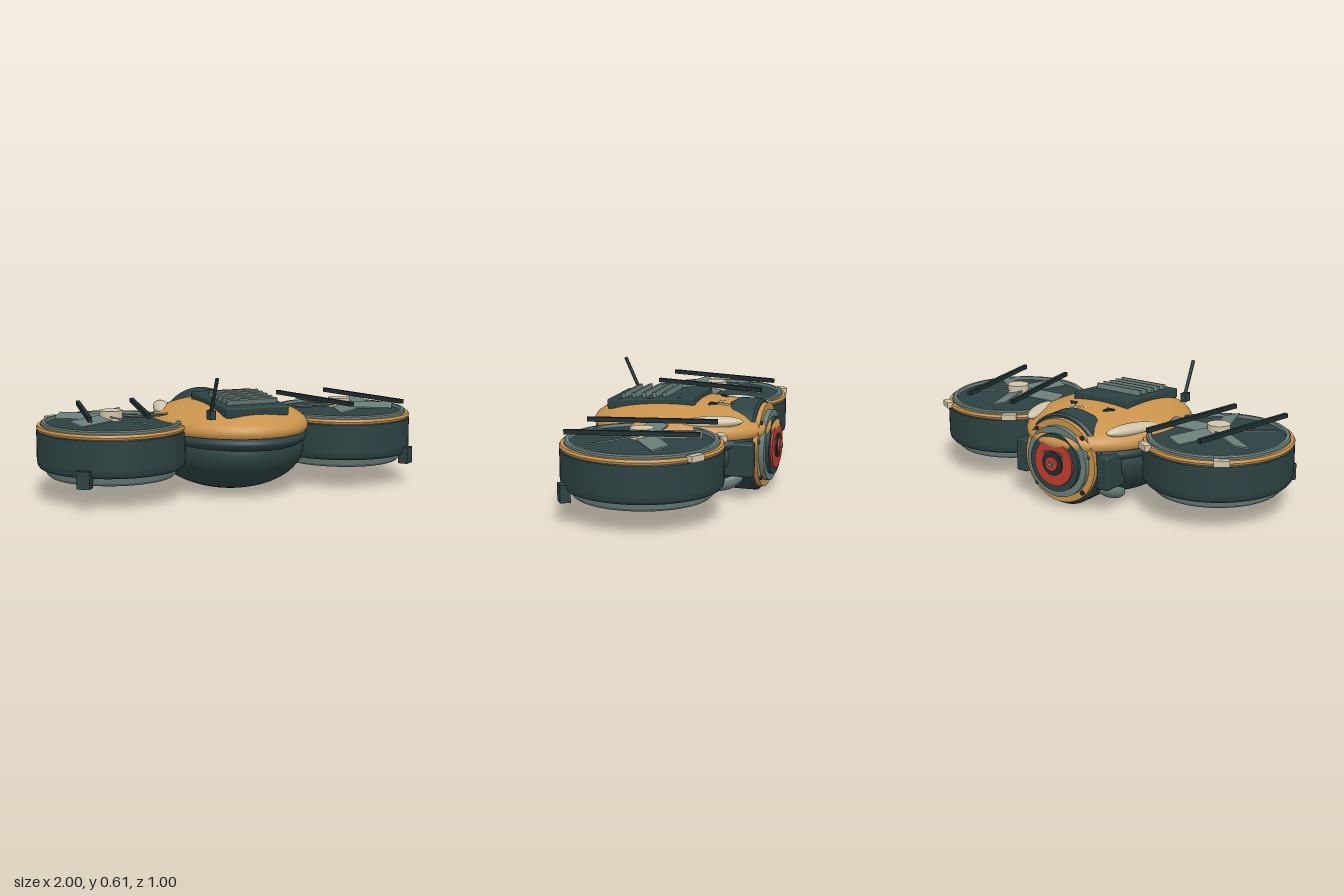
import * as THREE from 'three';
import { RoundedBoxGeometry } from 'three/addons/geometries/RoundedBoxGeometry.js';

const mat = (name, color) => {
  const m = new THREE.MeshStandardMaterial({ color });
  m.name = name;
  return m;
};

export function createModel() {
  const orange = mat('ochre', 0xc9934c);
  const dark = mat('dark teal', 0x2c4142);
  const char = mat('charcoal', 0x1f2e30);
  const steel = mat('steel grey', 0x687d79);
  const cream = mat('cream', 0xd0c5aa);
  const red = mat('red', 0xc03c2f);

  const root = new THREE.Group();
  root.name = 'drone';

  const add = (parent, name, geo, material, pos = [0, 0, 0], rot = [0, 0, 0], scale = [1, 1, 1]) => {
    const m = new THREE.Mesh(geo, material);
    m.name = name;
    m.position.set(...pos);
    m.rotation.set(...rot);
    m.scale.set(...scale);
    parent.add(m);
    return m;
  };
  const group = (name, x, y, z) => {
    const g = new THREE.Group();
    g.name = name;
    g.position.set(x, y, z);
    root.add(g);
    return g;
  };
  // Flat-faceted rings: each profile segment gets its own normals
  const lathe = (pts) => {
    const v = [];
    pts.forEach((p, i) => {
      v.push(new THREE.Vector2(...p));
      if (i > 0 && i < pts.length - 1) v.push(new THREE.Vector2(p[0], p[1] + 1e-5));
    });
    return new THREE.LatheGeometry(v, 64);
  };
  const box = (w, h, d) => new THREE.BoxGeometry(w, h, d);
  const ball = new THREE.SphereGeometry(1, 48, 32);

  // Hull: lower bowl, middle band, upper shell
  add(root, 'lowerHull', ball, dark, [0, 0.222, 0], [0, 0, 0], [0.38, 0.222, 0.45]);
  add(root, 'middleBand', ball, dark, [0, 0.285, 0.01], [0, 0, 0], [0.38, 0.085, 0.488]);
  const shell = new THREE.SphereGeometry(1, 48, 24, 0, Math.PI * 2, 0, 1.77);
  add(root, 'upperShell', shell, orange, [0, 0.337, 0.01], [0, 0, 0], [0.392, 0.127, 0.485]);

  // Sloped vent panel with five louvres
  const vent = group('ventPanel', 0, 0.447, 0.153);
  vent.rotation.x = 0.075;
  add(vent, 'panel', new RoundedBoxGeometry(0.335, 0.05, 0.465, 2, 0.008), dark);
  for (let i = 0; i < 5; i++)
    add(vent, 'louvre', box(0.27, 0.035, 0.02), steel, [0, 0.033, 0.15 - i * 0.055], [0.15, 0, 0]);

  // Antenna
  add(root, 'antennaBase', box(0.03, 0.045, 0.045), dark, [-0.235, 0.425, 0.355]);
  add(root, 'antenna', new THREE.CylinderGeometry(0.009, 0.009, 0.185, 12), char, [-0.235, 0.523, 0.39], [0.43, 0, 0]);

  // Small markings on the shell behind the panel
  for (const s of [-1, 1]) {
    const tri = new THREE.Shape([[0, 0], [0.045, 0], [0, 0.04]].map(([x, y]) => new THREE.Vector2(x * s, y)));
    add(root, 'shellBracket', new THREE.ExtrudeGeometry(tri, { depth: 0.009, bevelEnabled: false }), char,
      [s * 0.095, 0.452, -0.145], [-Math.PI / 2 - 0.1, 0, 0]);
  }
  for (const [x, z, d] of [[0.01, -0.185, 0.02], [0.05, -0.185, 0.02], [0.085, -0.215, 0.07]])
    add(root, 'shellTick', box(0.016, 0.008, d), cream, [x, 0.45, z], [-0.12, 0, 0]);

  for (const s of [-1, 1]) {
    // Pods on the rear shoulders and under the tail
    add(root, 'shoulderPod', ball, cream, [s * 0.285, 0.397, -0.205], [0.03, s * 0.3, 0], [0.042, 0.03, 0.155]);
    add(root, 'bellyPod', ball, steel, [s * 0.2, 0.085, -0.265], [0.4, s * 0.35, 0], [0.045, 0.042, 0.085]);
    // Lugs beside the tail collar
    add(root, 'tailLug', new RoundedBoxGeometry(0.07, 0.17, 0.15, 2, 0.012), dark, [s * 0.25, 0.215, -0.335]);
  }

  // Tail: stacked rings along -z
  const tail = group('tail', 0, 0.237, 0);
  tail.rotation.x = -Math.PI / 2;
  add(tail, 'collar', lathe([[0, 0.2], [0.205, 0.22], [0.225, 0.255], [0.233, 0.27], [0.233, 0.38], [0.222, 0.392], [0, 0.392]]), dark);
  const ring = (name, r, y0, y1, m) =>
    add(tail, name, new THREE.CylinderGeometry(r, r, y1 - y0, 64), m, [0, (y0 + y1) / 2, 0]);
  ring('trimRing', 0.213, 0.385, 0.416, orange);
  ring('steelRing', 0.18, 0.41, 0.443, steel);
  ring('darkRing', 0.147, 0.44, 0.46, dark);
  ring('redRing', 0.115, 0.455, 0.47, red);
  ring('innerRing', 0.06, 0.465, 0.478, char);
  ring('redCentre', 0.036, 0.475, 0.488, red);
  ring('lensTip', 0.012, 0.485, 0.497, steel);
  for (let i = 0; i < 4; i++) {
    const a = Math.PI / 4 + (i * Math.PI) / 2;
    add(tail, 'bolt', new THREE.CylinderGeometry(0.012, 0.012, 0.015, 12), char,
      [0.197 * Math.cos(a), 0.417, 0.197 * Math.sin(a)]);
  }

  // Ducted fans, mirrored left and right
  const oval = [1, 1, 1.07];
  const ductShell = lathe([[0.32, 0.15], [0.35, 0.155], [0.361, 0.168], [0.365, 0.19], [0.365, 0.335], [0.358, 0.345], [0.33, 0.345]]);
  const trim = lathe([[0.33, 0.34], [0.362, 0.34], [0.366, 0.351], [0.36, 0.363], [0.33, 0.363]]);
  const rim = lathe([[0.345, 0.35], [0.345, 0.374], [0.338, 0.38], [0.322, 0.38], [0.318, 0.36]]);
  const lip = lathe([[0.285, 0.125], [0.29, 0.112], [0.305, 0.112], [0.318, 0.125], [0.325, 0.155]]);
  for (const s of [-1, 1]) {
    const duct = group(s > 0 ? 'leftFan' : 'rightFan', s * 0.635, 0, 0.032);
    const part = (name, geo, m, y = 0) => add(duct, name, geo, m, [0, y, 0], [0, 0, 0], oval);
    part('ductShell', ductShell, dark);
    part('trimRing', trim, orange);
    part('topRim', rim, steel);
    part('bottomLip', lip, steel);
    part('topDisc', new THREE.CylinderGeometry(0.325, 0.325, 0.03, 64), dark, 0.35);
    part('bottomDisc', new THREE.CylinderGeometry(0.29, 0.29, 0.04, 64), char, 0.14);
    // Rotor
    for (let i = 0; i < 5; i++) {
      const arm = new THREE.Group();
      arm.name = 'bladeArm';
      arm.position.y = 0.393;
      arm.rotation.y = s * (-0.62 - (i * Math.PI * 2) / 5) + (s > 0 ? 0 : Math.PI);
      duct.add(arm);
      add(arm, 'blade', box(0.235, 0.008, 0.085), steel, [0.165, 0, 0], [s * 0.25, 0, 0]);
    }
    add(duct, 'hub', new THREE.CylinderGeometry(0.057, 0.057, 0.05, 32), cream, [0, 0.405, 0]);
    // Guard bars over the rotor
    for (const x of [0.14, -0.15])
      add(duct, 'guardBar', box(0.02, 0.022, 0.63), char, [s * x, 0.433, 0], [0, s * 0.2, 0]);
    // Rim clips and landing foot
    for (const c of [-1, 1])
      add(duct, 'rimClip', box(0.075, 0.03, 0.035), cream, [c * 0.212, 0.358, -0.327], [0, -c * 0.55, 0]);
    add(duct, 'foot', box(0.065, 0.085, 0.05), dark, [s * 0.232, 0.152, 0.302], [0, s * 0.6, 0]);
  }
  return root;
}
